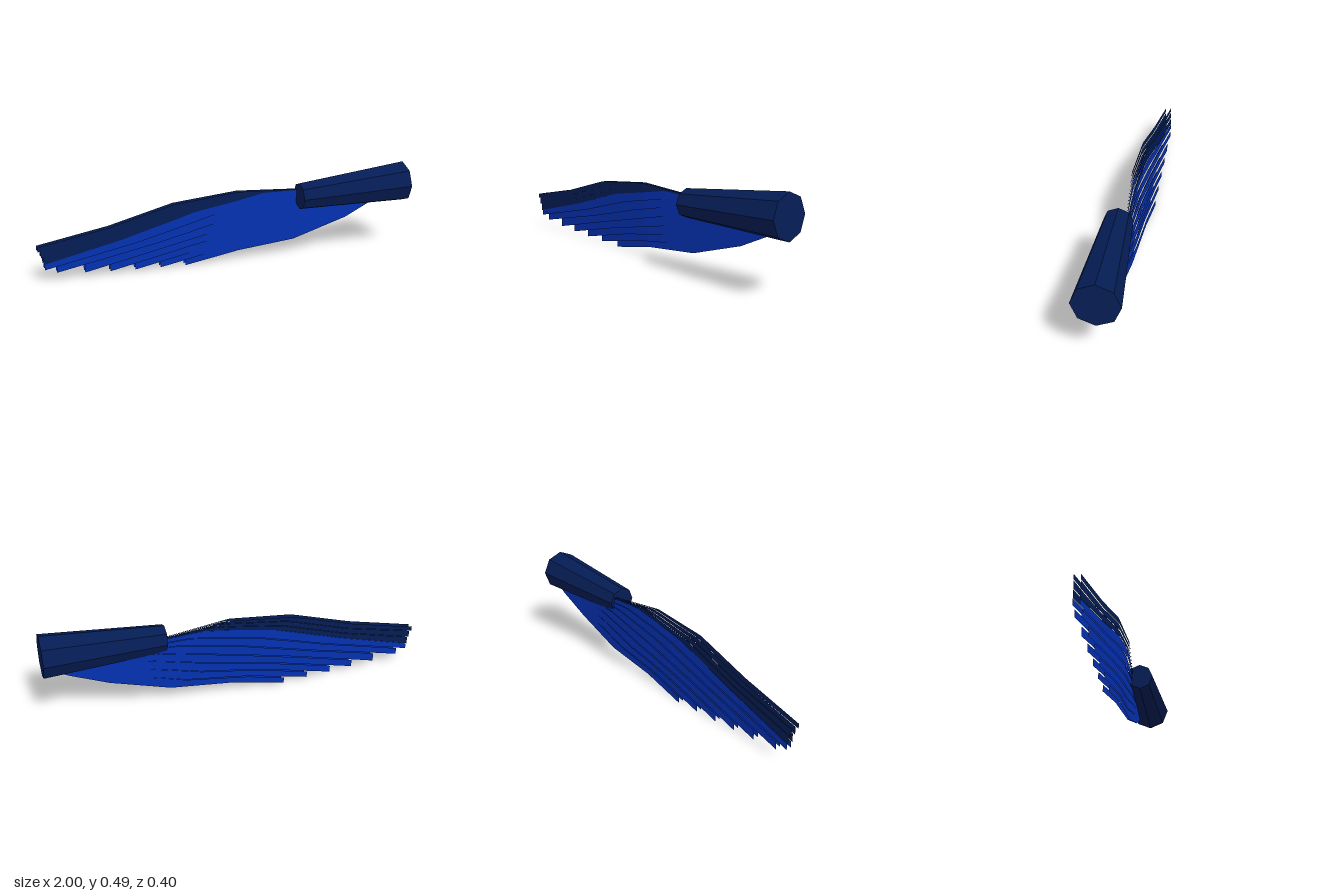
import * as THREE from 'three';

const navy = new THREE.MeshStandardMaterial({ color: 0x051d55, flatShading: true, side: THREE.DoubleSide });
navy.name = 'navy';
const blue = new THREE.MeshStandardMaterial({ color: 0x0431b2, flatShading: true, side: THREE.DoubleSide });
blue.name = 'royal blue';

// Edge curves of the wing as [x, y], from root to tip
const TOP = [[0.7, 0.37], [0.37, 0.38], [0.03, 0.405], [-0.31, 0.37], [-0.64, 0.275], [-1, 0.2]];
const MIDDLE = [[0.94, 0.34], [0.56, 0.365], [0.18, 0.38], [-0.2, 0.315], [-0.58, 0.2], [-0.97, 0.1]];
const BOTTOM = [[0.97, 0.33], [0.87, 0.27], [0.68, 0.18], [0.37, 0.085], [0.05, 0.055], [-0.24, 0]];
// Backward sweep of the wing as [x, z]
const SWEEP = [[1, 0.03], [0.87, 0.02], [0.68, 0.01], [0.37, -0.012], [0.03, -0.035], [-0.31, -0.08], [-0.64, -0.133], [-1, -0.195]];
// How far the feathers spread apart in z along the wing as [x, amount]
const SPREAD = [[0.7, 0], [0.37, 0.36], [0.05, 0.82], [-0.24, 1]];
const THICKNESS = 0.03;
// Lower tip corner of each feather, top feather first
const COVERT_TIPS = [[-1, 0.175], [-0.985, 0.14], [-0.975, 0.1]];
const FLIGHT_TIPS = [[-0.97, 0.07], [-0.91, 0.047], [-0.77, 0.03], [-0.64, 0.02], [-0.51, 0.012], [-0.375, 0.007], [-0.24, 0]];

// Value of a polyline (descending x) at a given x
function valueAt(line, x) {
  for (let i = 1; i < line.length; i++) {
    const [x0, v0] = line[i - 1], [x1, v1] = line[i];
    if (x >= x1 || i === line.length - 1) {
      const t = THREE.MathUtils.clamp((x0 - x) / (x0 - x1), 0, 1);
      return v0 + (v1 - v0) * t;
    }
  }
}

// Edge between two curves, ending at the given tip
function blendEdge(a, b, s, tip) {
  const edge = a.map(([x, y], i) => [x + (b[i][0] - x) * s, y + (b[i][1] - y) * s]);
  edge[edge.length - 1] = tip;
  return edge;
}

// Front and back vanes between two edges, cut off square at the tip
function featherGeometry(upper, lower, offset) {
  const tipX = lower[lower.length - 1][0];
  const rootX = Math.min(upper[0][0], lower[0][0]);
  const xs = [...upper, ...lower, ...SWEEP].map((p) => p[0])
    .filter((x, i, all) => x >= tipX && x <= rootX && all.indexOf(x) === i)
    .sort((a, b) => b - a);
  const position = [], index = [];
  for (const shift of [THICKNESS, 0]) {
    const first = position.length / 3;
    xs.forEach((x, i) => {
      const z = valueAt(SWEEP, x) + (shift - offset) * valueAt(SPREAD, x);
      const low = valueAt(lower, x);
      position.push(x, Math.max(valueAt(upper, x), low), z, x, low, z);
      if (i > 0) {
        const k = first + 2 * i;
        index.push(k - 2, k, k - 1, k, k + 1, k - 1);
      }
    });
  }
  const geometry = new THREE.BufferGeometry();
  geometry.setAttribute('position', new THREE.Float32BufferAttribute(position, 3));
  geometry.setIndex(index);
  geometry.computeVertexNormals();
  return geometry;
}

export function createModel() {
  const model = new THREE.Group();
  model.name = 'wing';

  // Tapered eight-sided arm
  const start = new THREE.Vector3(0.37, 0.35, 0.036);
  const end = new THREE.Vector3(0.987, 0.376, 0.087);
  const axis = end.clone().sub(start);
  const length = axis.length();
  const armGeometry = new THREE.CylinderGeometry(0.112, 0.073, length, 8).rotateZ(-Math.PI / 2);
  const arm = new THREE.Mesh(armGeometry, navy);
  arm.name = 'arm';
  arm.position.copy(start).add(end).multiplyScalar(0.5);
  arm.rotation.set(0, -Math.atan2(axis.z, axis.x), Math.asin(axis.y / length), 'YZX');
  model.add(arm);

  // Feathers step down and back from the leading edge
  let upper = TOP;
  function addRow(name, from, to, tips, material, firstOffset, step) {
    const row = new THREE.Group();
    row.name = name + 'Row';
    tips.forEach((tip, i) => {
      const lower = blendEdge(from, to, (i + 1) / tips.length, tip);
      const feather = new THREE.Mesh(featherGeometry(upper, lower, firstOffset + step * i), material);
      feather.name = name + (i + 1);
      row.add(feather);
      upper = lower;
    });
    model.add(row);
  }
  addRow('covertFeather', TOP, MIDDLE, COVERT_TIPS, navy, 0, 0.004);
  addRow('flightFeather', MIDDLE, BOTTOM, FLIGHT_TIPS, blue, 0.01, 0.0079);

  return model;
}
